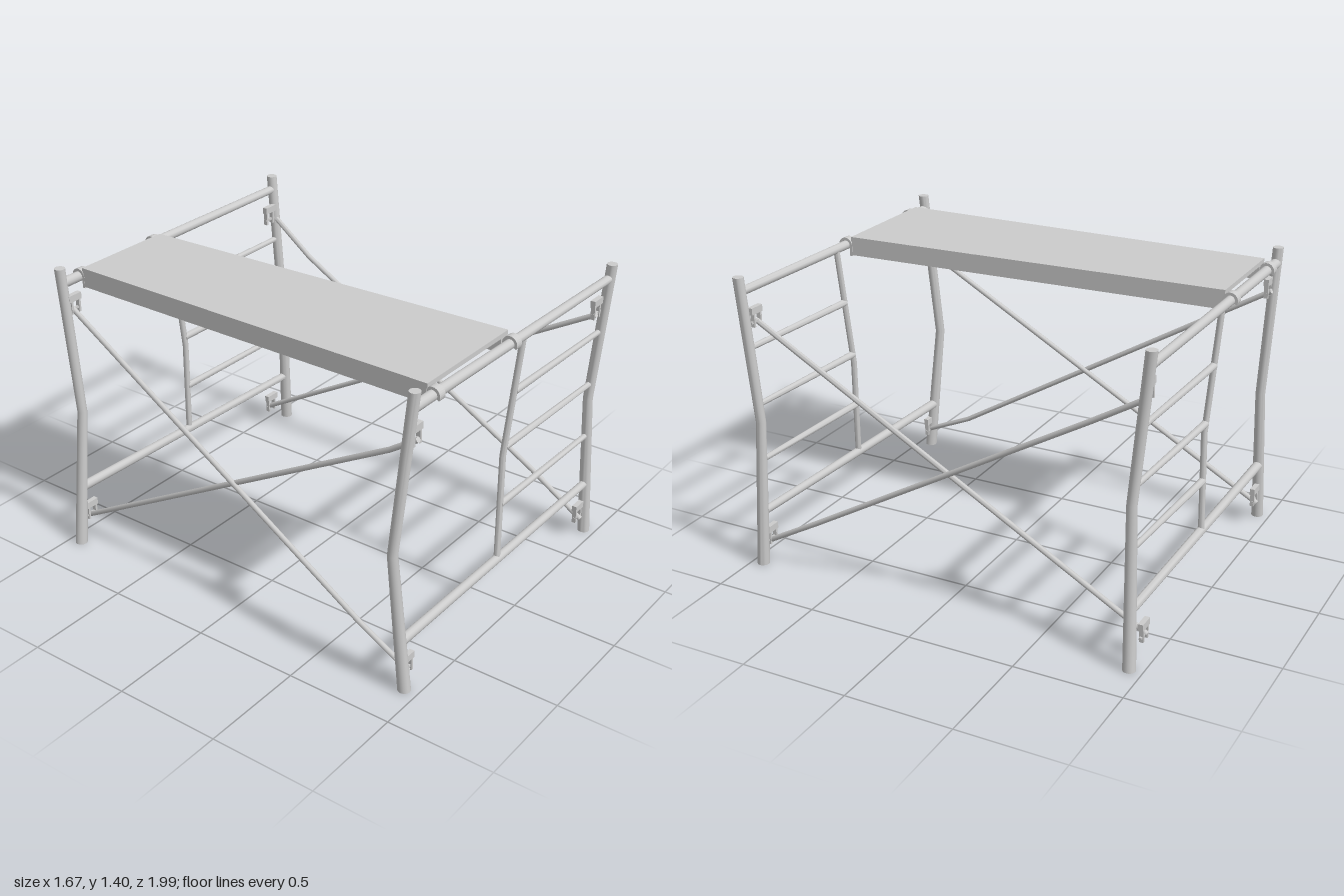
import * as THREE from 'three';
import { toCreasedNormals } from 'three/addons/utils/BufferGeometryUtils.js';

const material = new THREE.MeshStandardMaterial({ color: 0xcccccc });
const v = (p) => new THREE.Vector3(...p);

function mesh(name, geometry) {
  const m = new THREE.Mesh(geometry, material);
  m.name = name;
  return m;
}

// Pipe through a few points, one ring per point, all rings square to one axis
function pipe(name, points, radii, axis, sides = 14) {
  const pts = points.map(v);
  const last = pts.length - 1;
  const dir = axis ? v(axis) : pts[last].clone().sub(pts[0]).normalize();
  const turn = new THREE.Quaternion().setFromUnitVectors(new THREE.Vector3(0, 1, 0), dir);
  const g = new THREE.CylinderGeometry(1, 1, 1, sides, last);
  const pos = g.attributes.position;
  for (let i = 0; i < pos.count; i++) {
    const k = Math.round((pos.getY(i) + 0.5) * last);
    const r = Array.isArray(radii) ? radii[k] : radii;
    const p = new THREE.Vector3(pos.getX(i) * r, 0, pos.getZ(i) * r);
    p.applyQuaternion(turn).add(pts[k]);
    pos.setXYZ(i, p.x, p.y, p.z);
  }
  return mesh(name, toCreasedNormals(g, 0.7));
}

// Point at height y on a path of rising points
function at(path, y) {
  let i = 0;
  while (i < path.length - 2 && y > path[i + 1][1]) i++;
  const [a, b] = [path[i], path[i + 1]];
  return v(a).lerp(v(b), (y - a[1]) / (b[1] - a[1])).toArray();
}

// Slab running front to back whose left and right edges taper
function taperedSlab(name, back, front, y0, y1, z0, z1) {
  const g = new THREE.BoxGeometry(1, 1, 1);
  const pos = g.attributes.position;
  for (let i = 0; i < pos.count; i++) {
    const s = pos.getX(i) > 0 ? 1 : 0;
    const isFront = pos.getZ(i) > 0;
    pos.setXYZ(i, (isFront ? front : back)[s], pos.getY(i) > 0 ? y1 : y0, isFront ? z1 : z0);
  }
  g.computeVertexNormals();
  return mesh(name, g);
}

function box(name, w, h, d, x, y, z) {
  const m = mesh(name, new THREE.BoxGeometry(w, h, d));
  m.position.set(x, y, z);
  return m;
}

// Fork that holds the end of a brace, opening downwards beside the post
function bracket([x, y, z]) {
  const side = Math.sign(x);
  const g = new THREE.Group();
  g.name = 'braceBracket';
  g.add(box('bracketPlate', 0.075, 0.032, 0.024, 0, 0.024, 0));
  g.add(box('bracketOuterLeg', 0.011, 0.065, 0.02, -side * 0.027, -0.02, 0));
  g.add(box('bracketInnerLeg', 0.011, 0.065, 0.02, side * 0.018, -0.02, 0));
  g.add(box('bracketPin', 0.07, 0.01, 0.012, 0, -0.03, 0));
  g.position.set(x, y, z);
  return g;
}

// Strip hook curled over a top rail
function hook(x, y, z, facing) {
  const s = new THREE.Shape();
  s.moveTo(-0.036, -0.05);
  s.lineTo(-0.036, 0);
  s.absarc(0, 0, 0.036, Math.PI, -0.5, true);
  s.lineTo(0.02, -0.011);
  s.absarc(0, 0, 0.023, -0.5, Math.PI, false);
  s.lineTo(-0.023, -0.05);
  const g = new THREE.ExtrudeGeometry(s, { depth: 0.038, bevelEnabled: false, curveSegments: 8 });
  g.translate(0, 0, -0.019);
  g.rotateY(-facing * Math.PI / 2);
  const m = mesh('deckHook', g);
  m.position.set(x, y, z);
  return m;
}

export function createModel() {
  const model = new THREE.Group();
  model.name = 'scaffold';

  // Two end frames: outer posts and the ladder upright, each listed from the ground up
  const frames = [
    {
      name: 'front', facing: 1,
      low: [[-0.79, 0, 0.937], [-0.813, 0.66, 0.88], [-0.775, 1.4, 0.94]],
      high: [[0.745, 0, 0.945], [0.73, 0.72, 0.915], [0.755, 1.4, 0.965]],
      upright: [[-0.055, 0.25, 0.925], [-0.012, 0.75, 0.9], [0.03, 1.33, 0.943]],
      railY: [0.24, 0.265], hooks: [-0.63, -0.073],
    },
    {
      name: 'back', facing: -1,
      low: [[-0.79, 0, -0.94], [-0.712, 0.68, -0.94], [-0.745, 1.4, -0.969]],
      high: [[0.802, 0, -0.94], [0.733, 0.72, -0.9], [0.75, 1.4, -0.969]],
      upright: [[0.003, 0.275, -0.935], [-0.008, 0.75, -0.922], [-0.042, 1.33, -0.962]],
      railY: [0.29, 0.26], hooks: [-0.62, -0.145],
    },
  ];

  for (const f of frames) {
    const frame = new THREE.Group();
    frame.name = f.name + 'Frame';
    for (const post of [f.low, f.high])
      frame.add(pipe('post', post, [0.029, 0.023, 0.025], [0, 1, 0], 18));
    const ends = [at(f.low, 1.326), at(f.high, 1.332)];
    frame.add(pipe('topRail', ends, [0.024, 0.02]));
    frame.add(pipe('bottomRail', [at(f.low, f.railY[0]), at(f.high, f.railY[1])], [0.023, 0.019]));
    frame.add(pipe('ladderUpright', f.upright, 0.0145, [0, 1, 0]));
    for (const y of [0.52, 0.793, 1.062])
      frame.add(pipe('rung', [at(f.upright, y), at(f.high, y + 0.008)], [0.017, 0.013]));
    for (const x of f.hooks) {
      const t = (x - ends[0][0]) / (ends[1][0] - ends[0][0]);
      const p = v(ends[0]).lerp(v(ends[1]), t);
      frame.add(hook(x, p.y, p.z, f.facing));
    }
    model.add(frame);
  }

  // Crossed braces on both sides, some bent near an end
  const braces = [
    [[0.69, 0.09, 0.95], [0.71, 0.255, 0.66], [0.71, 1.035, -0.7], [0.742, 1.2, -0.965]],
    [[0.668, 1.18, 0.95], [0.668, 0.105, -0.96]],
    [[-0.772, 0.09, 0.945], [-0.752, 0.21, 0.68], [-0.7, 1.2, -0.965]],
    [[-0.735, 1.17, 0.935], [-0.73, 1.078, 0.8], [-0.705, 0.105, -0.96]],
  ];
  for (const b of braces) model.add(pipe('crossBrace', b, 0.0125, null, 10));

  // One bracket at each brace end
  const brackets = [
    [0.684, 0.135, 0.935], [0.69, 1.22, -0.94], [0.684, 1.21, 0.94], [0.684, 0.135, -0.95],
    [-0.765, 0.125, 0.93], [-0.695, 1.225, -0.95], [-0.735, 1.195, 0.92], [-0.708, 0.15, -0.945],
  ];
  for (const p of brackets) model.add(bracket(p));

  // Work deck: top sheet on two side channels, open underneath
  const deck = new THREE.Group();
  deck.name = 'deck';
  const back = [-0.638, -0.128], front = [-0.652, -0.056];
  deck.add(taperedSlab('deckSheet', back, front, 1.35, 1.372, -0.94, 0.915));
  const channels = [[0, 0.045], [1, -0.045]];
  for (const [i, w] of channels) {
    const span = (e) => [e[i], e[i] + w].sort((a, b) => a - b);
    deck.add(taperedSlab('deckChannel', span(back), span(front), 1.283, 1.371, -0.935, 0.91));
  }
  model.add(deck);
  return model;
}
